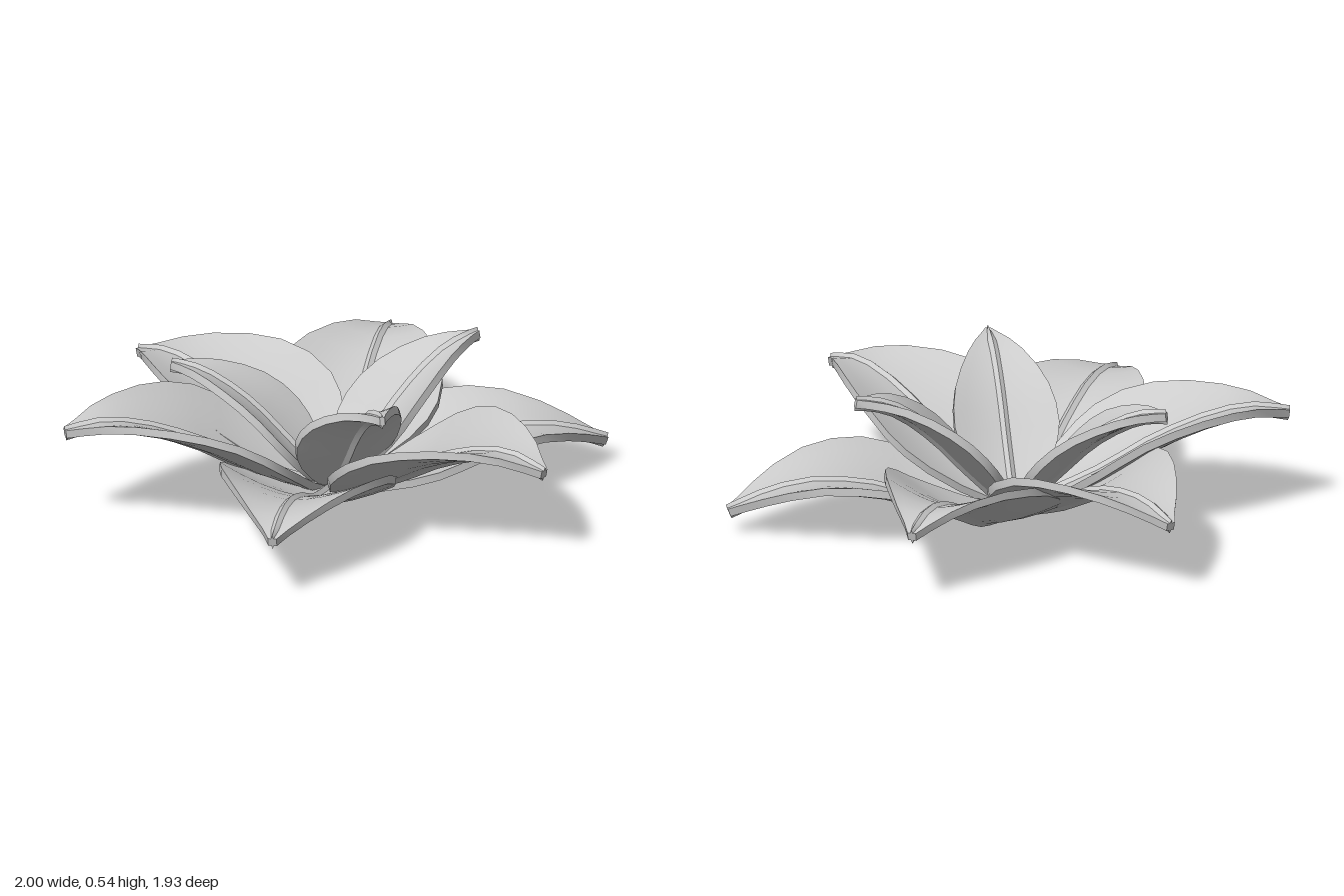
import * as THREE from 'three';
import { toCreasedNormals } from 'three/addons/utils/BufferGeometryUtils.js';

const BASE = new THREE.Vector3(-0.03, 0.03, 0.03);
const HALF_THICK = 0.015;
const RIB = 0.016;

// Outline of a petal: [fraction of length, fraction of half width]
const OUTLINE = [
  [0, 0.06], [0.06, 0.22], [0.13, 0.49], [0.22, 0.77], [0.31, 0.93], [0.4, 1], [0.5, 0.98],
  [0.6, 0.89], [0.7, 0.73], [0.8, 0.52], [0.88, 0.33], [0.95, 0.15], [1, 0.05],
];
const COLUMNS = [-1, -0.75, -0.5, -0.25, 'ribL', 0, 'ribR', 0.25, 0.5, 0.75, 1];

// Fractions of the petal's reach at which the spine heights are given
const STATIONS = [0.3, 0.5, 0.7, 0.86, 1];

// Thick cupped leaf along +x with a raised rib on both faces
function petalGeometry({ reach, heights, halfWidth, cup }) {
  const spine = new THREE.SplineCurve([
    new THREE.Vector2(0, 0),
    ...STATIONS.map((f, i) => new THREE.Vector2(f * reach, heights[i] - BASE.y)),
  ]);
  const n = COLUMNS.length;
  const positions = [];
  const index = [];

  for (const [u, f] of OUTLINE) {
    const p = spine.getPointAt(u);
    const t = spine.getTangentAt(u);
    const w = halfWidth * f;
    const rib = Math.min(RIB, w * 0.3);
    const point = (c, side) => {
      const s = c === 'ribL' ? -rib : c === 'ribR' ? rib : c * w;
      const lift = cup * Math.pow(Math.abs(s) / halfWidth, 1.6);
      const h = lift + side * (HALF_THICK + (c === 0 ? 0.013 : 0));
      positions.push(p.x - t.y * h, p.y + t.x * h, s);
    };
    COLUMNS.forEach((c) => point(c, 1));
    [...COLUMNS].reverse().forEach((c) => point(c, -1));
  }

  // Skin between neighbouring cross-sections
  const ring = 2 * n;
  for (let i = 0; i < OUTLINE.length - 1; i++) {
    for (let j = 0; j < ring; j++) {
      const k = (j + 1) % ring;
      const a = i * ring + j, b = i * ring + k;
      index.push(a, b, b + ring, a, b + ring, a + ring);
    }
  }
  // Closed ends
  const last = (OUTLINE.length - 1) * ring;
  for (let j = 0; j < n - 1; j++) {
    const a = j, b = j + 1, c = ring - 2 - j, d = ring - 1 - j;
    index.push(a, c, b, a, d, c);
    index.push(last + a, last + b, last + c, last + a, last + c, last + d);
  }

  const geometry = new THREE.BufferGeometry();
  geometry.setAttribute('position', new THREE.Float32BufferAttribute(positions, 3));
  geometry.setIndex(index);
  return toCreasedNormals(geometry, 0.55);
}

export function createModel() {
  const model = new THREE.Group();
  model.name = 'flower';
  const material = new THREE.MeshStandardMaterial({ color: 0xcccccc });

  // Tip [x, z] of each petal and the heights of its spine from base to tip
  const outer = { name: 'outerPetal', halfWidth: 0.315, cup: 0.105 };
  const inner = { name: 'innerPetal', halfWidth: 0.19, cup: 0.05 };
  const petals = [
    { ...outer, tip: [0.99, 0.23], heights: [0.08, 0.145, 0.17, 0.14, 0.082], cup: 0.075 },
    { ...outer, tip: [0.32, 0.95], heights: [0.155, 0.265, 0.345, 0.37, 0.34] },
    { ...outer, tip: [-0.71, 0.79], heights: [0.105, 0.19, 0.255, 0.265, 0.23], cup: 0.1 },
    { ...outer, tip: [-0.99, -0.21], heights: [0.155, 0.265, 0.345, 0.375, 0.355] },
    { ...outer, tip: [-0.25, -0.96], heights: [0.14, 0.235, 0.285, 0.29, 0.255] },
    { ...outer, tip: [0.65, -0.72], heights: [0.09, 0.175, 0.26, 0.285, 0.25], cup: 0.12 },
    { ...inner, tip: [-0.46, -0.37], heights: [0.21, 0.325, 0.405, 0.445, 0.455] },
    { ...inner, tip: [0.58, 0.03], heights: [0.215, 0.345, 0.445, 0.49, 0.505] },
    { ...inner, tip: [-0.14, 0.59], heights: [0.215, 0.35, 0.45, 0.495, 0.51] },
  ];

  petals.forEach((petal, i) => {
    const dx = petal.tip[0] - BASE.x;
    const dz = petal.tip[1] - BASE.z;
    const mesh = new THREE.Mesh(petalGeometry({ ...petal, reach: Math.hypot(dx, dz) }), material);
    mesh.name = `${petal.name}${i + 1}`;
    mesh.position.copy(BASE);
    mesh.rotation.y = -Math.atan2(dz, dx);
    model.add(mesh);
  });

  // Rest the flower on the ground
  const bottom = new THREE.Box3().setFromObject(model, true).min.y;
  model.children.forEach((mesh) => { mesh.position.y -= bottom; });
  return model;
}
